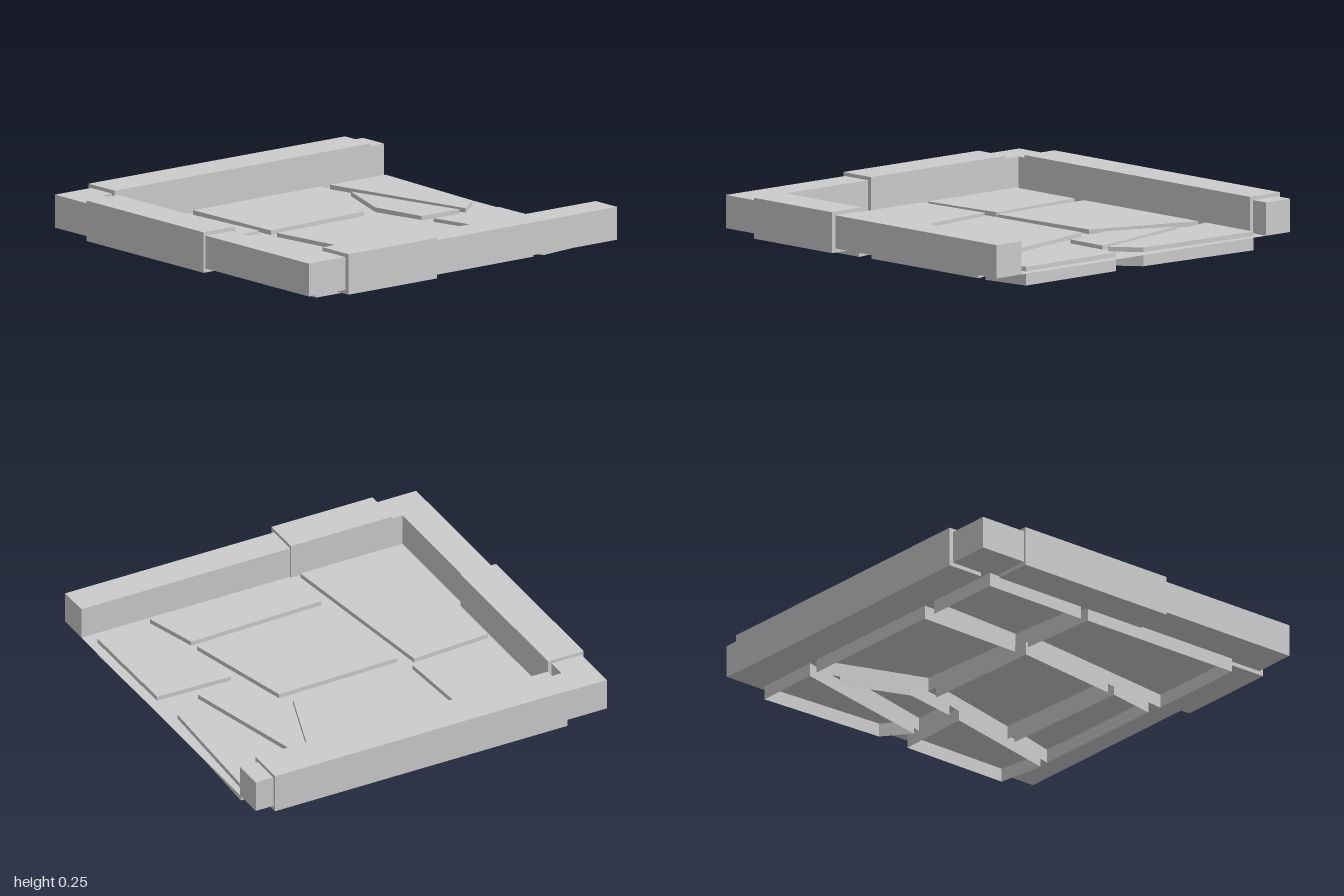
import * as THREE from 'three';
import { mergeGeometries } from 'three/addons/utils/BufferGeometryUtils.js';

const FLOOR_Y = 0.07;
const SLAB_TOP = 0.093;

const solid = new THREE.MeshStandardMaterial({ color: 0xcccccc, flatShading: true });
const thin = new THREE.MeshStandardMaterial({ color: 0xcccccc, flatShading: true, side: THREE.DoubleSide });

// Box given by its limits on each axis
function block(name, [x0, x1], [y0, y1], [z0, z1]) {
  const mesh = new THREE.Mesh(new THREE.BoxGeometry(x1 - x0, y1 - y0, z1 - z0), solid);
  mesh.position.set((x0 + x1) / 2, (y0 + y1) / 2, (z0 + z1) / 2);
  mesh.name = name;
  return mesh;
}

// Paving slab: flat top with side walls, open underneath
function slab(corners) {
  const outline = corners.map(([x, z]) => new THREE.Vector2(x, -z));
  const top = new THREE.ShapeGeometry(new THREE.Shape(outline));
  top.rotateX(-Math.PI / 2).translate(0, SLAB_TOP, 0);
  const parts = [top];
  corners.forEach(([x0, z0], i) => {
    const [x1, z1] = corners[(i + 1) % corners.length];
    const wall = new THREE.PlaneGeometry(Math.hypot(x1 - x0, z1 - z0), SLAB_TOP);
    wall.rotateY(Math.atan2(z1 - z0, -(x1 - x0)));
    wall.translate((x0 + x1) / 2, SLAB_TOP / 2, (z0 + z1) / 2);
    parts.push(wall);
  });
  const mesh = new THREE.Mesh(mergeGeometries(parts), thin);
  mesh.name = 'pavingSlab';
  return mesh;
}

export function createModel() {
  const model = new THREE.Group();
  model.name = 'pavedFloorTile';

  // Thin ground sheet between the kerbs
  const floor = new THREE.Mesh(new THREE.PlaneGeometry(1.63, 1.787), thin);
  floor.rotation.x = -Math.PI / 2;
  floor.position.set(-0.005, FLOOR_Y, -0.0895);
  floor.name = 'floor';
  model.add(floor);

  // Kerb on three sides, open at the back
  const kerbY = [FLOOR_Y, 0.235];
  model.add(
    block('rightKerb', [-0.98, -0.82], kerbY, [-0.983, 0.97]),
    block('leftKerb', [0.81, 0.975], kerbY, [-0.983, 0.97]),
    block('frontKerb', [-0.82, 0.81], kerbY, [0.804, 0.97]),
  );

  // Thicker stones wrapped around parts of the kerb
  const stoneY = [0.05, 0.253];
  model.add(
    block('rightKerbStone', [-1, -0.8], stoneY, [-0.886, 0.74]),
    block('leftKerbStone', [0.8, 1], stoneY, [0.178, 0.74]),
    block('frontKerbStone', [-0.72, 0.18], stoneY, [0.785, 0.983]),
  );

  // Irregular slabs, corners as x, z
  const slabs = new THREE.Group();
  slabs.name = 'pavingSlabs';
  [
    [[-0.765, -0.95], [-0.06, -0.92], [0.05, -0.785], [-0.77, -0.6]],
    [[0.13, -0.93], [0.735, -0.935], [0.77, -0.68], [0.12, -0.525]],
    [[-0.59, -0.585], [0.05, -0.745], [0.045, -0.51], [-0.245, -0.455]],
    [[-0.77, -0.55], [-0.215, -0.36], [-0.18, 0.26], [-0.765, 0.27]],
    [[-0.135, -0.395], [0.44, -0.54], [0.47, 0.19], [-0.12, 0.27]],
    [[0.49, -0.545], [0.765, -0.625], [0.77, 0.14], [0.51, 0.19]],
    [[-0.765, 0.34], [-0.215, 0.305], [-0.18, 0.76], [-0.765, 0.765]],
    [[-0.165, 0.34], [0.78, 0.22], [0.78, 0.765], [-0.14, 0.765]],
  ].forEach((corners) => slabs.add(slab(corners)));
  model.add(slabs);

  return model;
}
